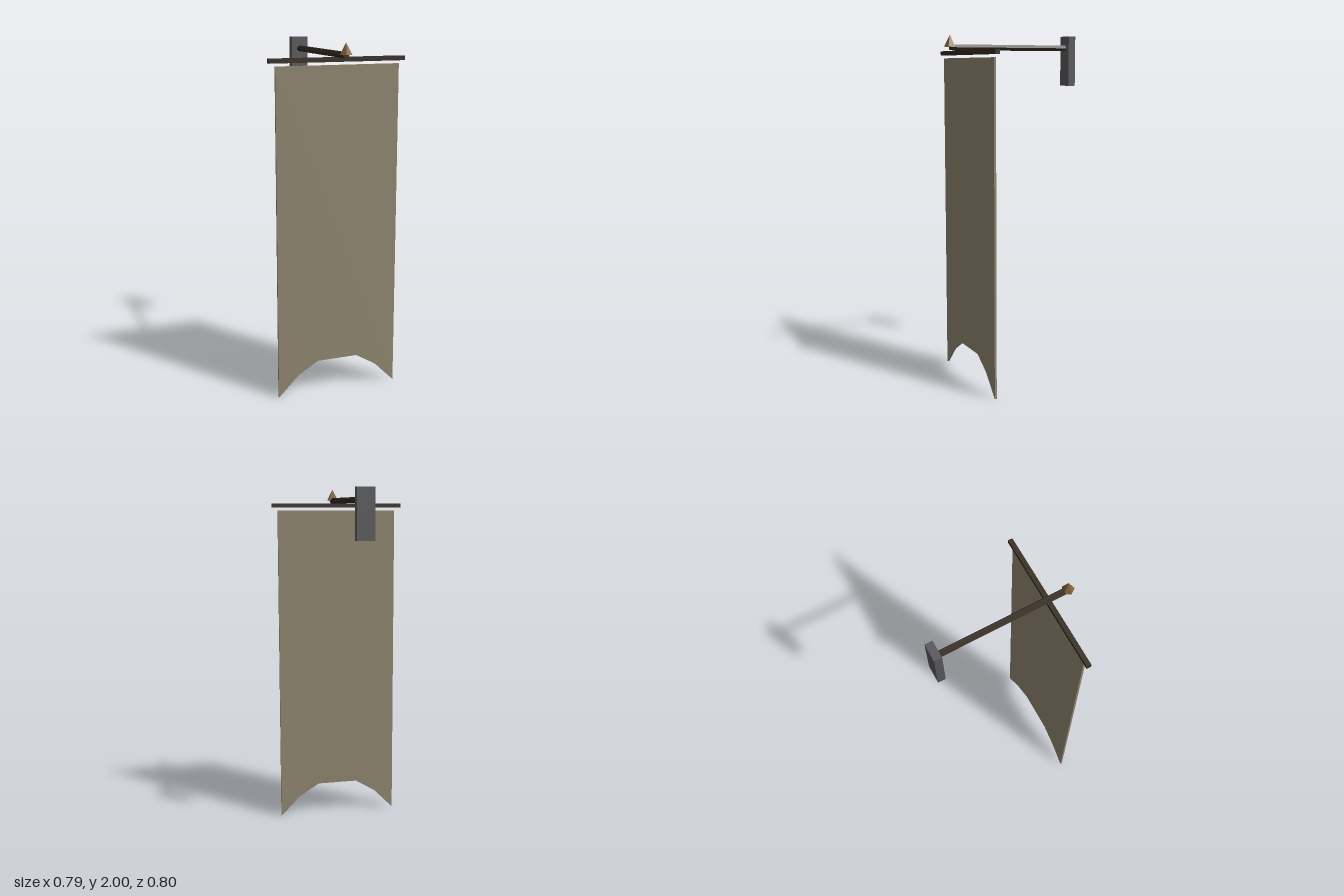
import * as THREE from 'three';

const mat = (name, color) => {
  const m = new THREE.MeshStandardMaterial({ color });
  m.name = name;
  return m;
};

export function createModel() {
  const group = new THREE.Group();
  const iron = mat('grey iron', 0x58585c);
  const wood = mat('dark wood', 0x352a20);
  const bronze = mat('bronze', 0x80603a);
  const cloth = mat('tan cloth', 0x8f866f);

  const add = (name, geometry, material, x, y, z) => {
    const mesh = new THREE.Mesh(geometry, material);
    mesh.name = name;
    mesh.position.set(x, y, z);
    group.add(mesh);
    return mesh;
  };
  // Faceted prism or cone with hard edges
  const faceted = (rTop, rBottom, height, sides) => {
    const g = new THREE.CylinderGeometry(rTop, rBottom, height, sides).toNonIndexed();
    g.computeVertexNormals();
    return g;
  };

  // Wall plate and the arm reaching forward from it
  add('wallPlate', new THREE.BoxGeometry(0.1, 0.285, 0.043), iron, 0, 1.8575, -0.3785);
  const armGeometry = faceted(0.0185, 0.0185, 0.722, 6);
  armGeometry.rotateY(Math.PI / 6).rotateX(Math.PI / 2);
  add('arm', armGeometry, wood, 0, 1.932, 0.004);

  // Crossbar under the arm
  add('crossbar', new THREE.BoxGeometry(0.788, 0.025, 0.025), wood, -0.002, 1.904, 0.255);

  // Five-sided pointed finial
  const finial = add('finial', faceted(0, 0.034, 0.065, 5), bronze, 0, 1.9675, 0.365);
  finial.rotation.y = -Math.PI / 2;

  // Hanging banner with a notched lower edge
  const outline = [
    [-0.358, 1.875], [-0.358, 0], [-0.24, 0.118], [-0.12, 0.19],
    [0.12, 0.19], [0.24, 0.118], [0.358, 0], [0.358, 1.875],
  ].map(([x, y]) => new THREE.Vector2(x, y));
  const bannerGeometry = new THREE.ExtrudeGeometry(new THREE.Shape(outline), {
    depth: 0.012, bevelEnabled: false,
  });
  add('banner', bannerGeometry, cloth, 0, 0, 0.25);

  return group;
}
